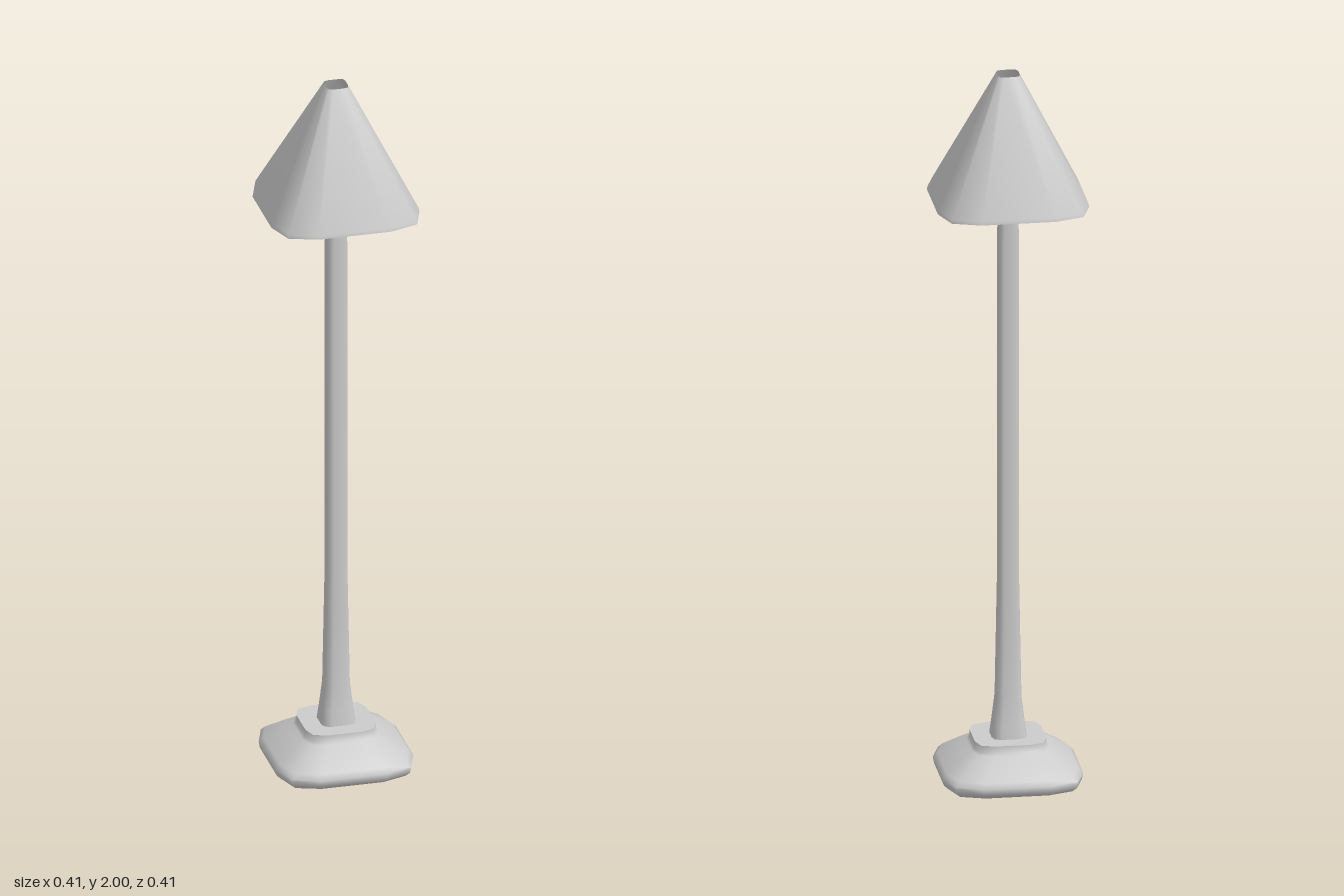
import * as THREE from 'three';
import { toCreasedNormals } from 'three/addons/utils/BufferGeometryUtils.js';

// Twelve-sided rounded-square cross-section: one quarter, for half-width 1
const QUARTER = [[1, 0.49], [0.87, 0.87], [0.49, 1]];

// Loft the rounded square along a profile of [halfWidth, y], bottom to top
function squareLoft(profile, creaseAngle) {
  const points = profile.map(([r, y]) => new THREE.Vector2(r, y));
  const geometry = new THREE.LatheGeometry(points, 12);
  const pos = geometry.attributes.position;
  for (let i = 0; i < pos.count; i++) {
    const column = Math.floor(i / points.length) % 12;
    const [r, y] = profile[i % points.length];
    let [z, x] = QUARTER[column % 3];
    // Turn the quarter section round to its own side
    for (let q = 0; q < Math.floor(column / 3); q++) [z, x] = [-x, z];
    pos.setXYZ(i, x * r, y, z * r);
  }
  return toCreasedNormals(geometry, creaseAngle);
}

export function createModel() {
  const group = new THREE.Group();
  const material = new THREE.MeshStandardMaterial({ color: 0xcccccc });
  const shadeMaterial = new THREE.MeshStandardMaterial({ color: 0xcccccc, side: THREE.DoubleSide });

  const add = (name, profile, mat) => {
    const mesh = new THREE.Mesh(squareLoft(profile, 1.2), mat);
    mesh.name = name;
    group.add(mesh);
  };

  // Foot: bevelled underside, sloping skirt and a small raised collar
  add('base', [
    [0, 0], [0.175, 0], [0.187, 0.012], [0.19, 0.03], [0.178, 0.043],
    [0.125, 0.08], [0.105, 0.093], [0.098, 0.098], [0.097, 0.118], [0, 0.118],
  ], material);

  // Post: flared at the foot, slim shaft, narrower neck and domed tip inside the shade
  add('post', [
    [0.048, 0.115], [0.042, 0.16], [0.034, 0.23], [0.031, 0.4],
    [0.028, 0.57], [0.028, 1.52], [0.025, 1.66], [0.024, 1.955], [0.018, 1.97], [0, 1.978],
  ], material);

  // Shade: thin, open at top and bottom
  add('shade', [[0.205, 1.645], [0.203, 1.655], [0.03, 2]], shadeMaterial);

  return group;
}
